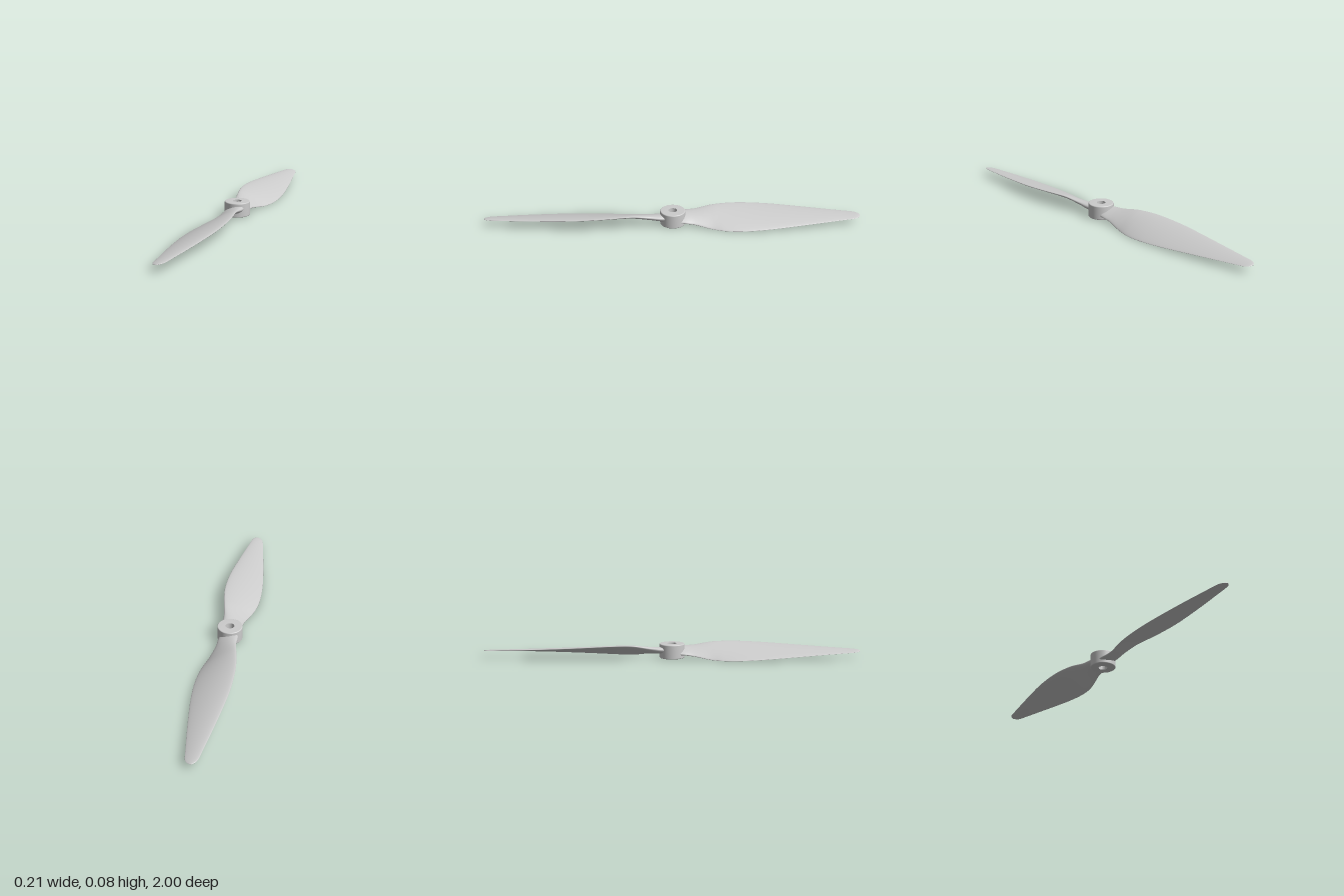
import * as THREE from 'three';

const MID = 0.043; // height of the blade axis

// Blade stations: z, low edge x, high edge x, half rise, half thickness
const STATIONS = [
  [0.035, -0.05, 0.05, 0.012, 0.019],
  [0.07, -0.053, 0.053, 0.014, 0.017],
  [0.12, -0.056, 0.054, 0.021, 0.014],
  [0.2, -0.076, 0.068, 0.035, 0.011],
  [0.27, -0.095, 0.081, 0.038, 0.0095],
  [0.34, -0.105, 0.09, 0.037, 0.009],
  [0.42, -0.107, 0.093, 0.0335, 0.0085],
  [0.52, -0.101, 0.09, 0.028, 0.008],
  [0.64, -0.086, 0.077, 0.021, 0.007],
  [0.78, -0.065, 0.058, 0.0135, 0.0055],
  [0.9, -0.045, 0.04, 0.008, 0.004],
  [0.965, -0.034, 0.03, 0.005, 0.0032],
  [0.99, -0.021, 0.018, 0.003, 0.0024],
  [1.0, -0.004, 0.004, 0.0005, 0.001],
];

// Twisted airfoil sections lofted between the low and high edges
function bladeGeometry() {
  const curve = (f) => new THREE.CatmullRomCurve3(
    STATIONS.map((s) => new THREE.Vector3(...f(s))), false, 'catmullrom', 0.5);
  const low = curve(([z, l, , h]) => [l, MID - h, z]);
  const high = curve(([z, , r, h]) => [r, MID + h, z]);
  const thick = curve(([z, , , , t]) => [t, 0, z]);
  const rows = 78, cols = 36;
  const pos = [], idx = [];

  for (let i = 0; i <= rows; i++) {
    const a = low.getPoint(i / rows), b = high.getPoint(i / rows);
    const t = thick.getPoint(i / rows).x;
    const dx = b.x - a.x, dy = b.y - a.y, len = Math.hypot(dx, dy);
    const camber = 0.025 * len * Math.min(1, i / 20);
    for (let j = 0; j < cols; j++) {
      const ang = (j / cols) * Math.PI * 2;
      const c = Math.cos(ang), s = Math.sin(ang);
      const u = (c + 1) / 2;
      const n = t * s * (1 + 0.25 * c) + camber * s * s;
      pos.push(a.x + dx * u - (dy / len) * n, a.y + dy * u + (dx / len) * n, a.z);
    }
  }
  for (let i = 0; i < rows; i++) {
    for (let j = 0; j < cols; j++) {
      const k = (j + 1) % cols;
      const p = i * cols + j, q = i * cols + k;
      idx.push(p, q, p + cols, q, q + cols, p + cols);
    }
  }
  // Tip cap
  const last = rows * cols;
  for (let j = 1; j < cols - 1; j++) idx.push(last, last + j, last + j + 1);

  const g = new THREE.BufferGeometry();
  g.setAttribute('position', new THREE.Float32BufferAttribute(pos, 3));
  g.setIndex(idx);
  g.computeVertexNormals();
  return g;
}

// Bored hub with softly rounded rims; doubled points keep the bore edges sharp
function hubGeometry() {
  const R = 0.067, bore = 0.023, y0 = 0.007, y1 = 0.083, f = 0.005;
  const pts = [[bore, y0], [bore, y0], [R - f, y0]];
  for (let i = 1; i <= 4; i++) {
    const a = (i / 4) * Math.PI / 2;
    pts.push([R - f + f * Math.sin(a), y0 + f - f * Math.cos(a)]);
  }
  for (let i = 0; i <= 4; i++) {
    const a = (i / 4) * Math.PI / 2;
    pts.push([R - f + f * Math.cos(a), y1 - f + f * Math.sin(a)]);
  }
  pts.push([bore, y1]);
  return new THREE.LatheGeometry(pts.slice(1).map((p) => new THREE.Vector2(...p)), 64);
}

export function createModel() {
  const group = new THREE.Group();
  group.name = 'propeller';
  const mat = new THREE.MeshStandardMaterial({ color: 0xcccccc });
  const add = (name, geometry, material = mat) => {
    const m = new THREE.Mesh(geometry, material);
    m.name = name;
    group.add(m);
    return m;
  };

  add('hub', hubGeometry());

  // Bore wall, seen from inside
  const boreGeo = new THREE.CylinderGeometry(0.023, 0.023, 0.076, 64, 1, true);
  const boreMat = new THREE.MeshStandardMaterial({ color: 0xcccccc, side: THREE.DoubleSide });
  add('hubBore', boreGeo, boreMat).position.y = 0.045;

  // Two identical blades, half a turn apart
  const blade = bladeGeometry();
  add('frontBlade', blade);
  add('backBlade', blade).rotation.y = Math.PI;
  return group;
}
